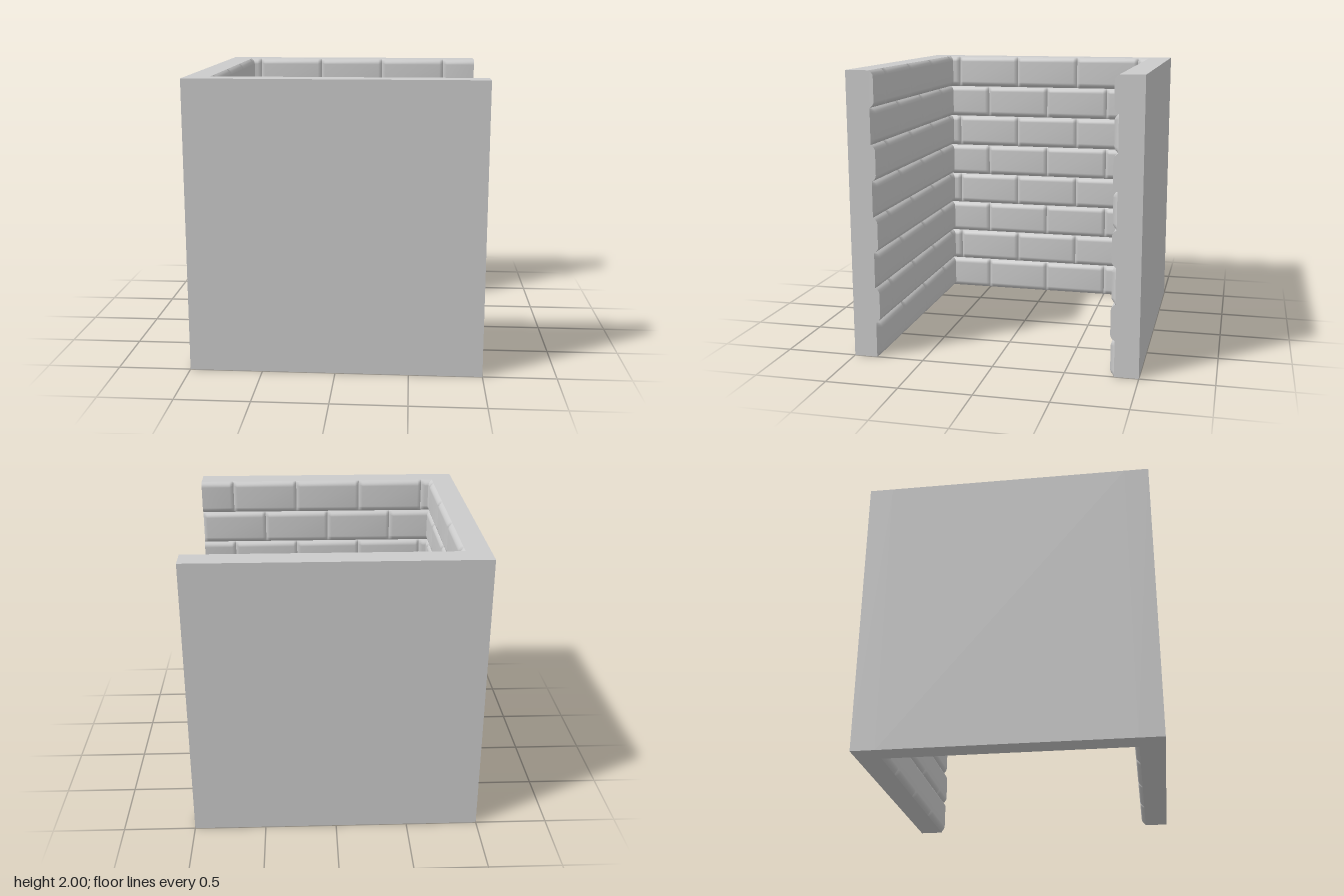
import * as THREE from 'three';

const material = new THREE.MeshStandardMaterial({ color: 0xcccccc });
const BASE = 0.165;   // thickness of the plain wall behind the bricks
const RISE = 0.03;    // how far a brick stands out
const ROW = 0.25;     // course height
const ROWS = 8;

// Rounded edge along the bed joints: [distance from edge, share of rise]
const ROUND = [[0, 0], [0.008, 0.4], [0.018, 0.72], [0.03, 0.93], [0.042, 1]];
// Straight chamfer along the upright joints
const CHAMFER = [[0, 0], [0.03, 1]];
const CUT = [[0, 1]]; // brick cut flush at the end of the wall

// Lines across a brick from a to b, with the given edge at each side
const lines = (a, b, edgeA, edgeB) => [
  ...edgeA.map(([d, h]) => [a + d, h]),
  ...edgeB.map(([d, h]) => [b - d, h]).reverse(),
];

// Face of one brick: a grid raised by the lower of its two edge profiles
function brickGeometry(x0, x1, y0, edgeA, edgeB) {
  const xs = lines(x0, x1, edgeA, edgeB);
  const ys = lines(y0, y0 + ROW, ROUND, ROUND);
  const positions = [], index = [];
  for (const [y, hy] of ys) {
    for (const [x, hx] of xs) positions.push(x, y, BASE + RISE * Math.min(hx, hy));
  }
  const n = xs.length;
  for (let j = 0; j < ys.length - 1; j++) {
    for (let i = 0; i < n - 1; i++) {
      const a = j * n + i, b = a + 1, c = a + n, d = c + 1;
      // turn the diagonal so that corners mitre cleanly
      if ((i < n / 2 - 1) === (j < ys.length / 2 - 1)) index.push(a, b, d, a, d, c);
      else index.push(a, b, c, b, d, c);
    }
  }
  const geometry = new THREE.BufferGeometry();
  geometry.setAttribute('position', new THREE.Float32BufferAttribute(positions, 3));
  geometry.setIndex(index);
  geometry.computeVertexNormals();
  return geometry;
}

// Flat end of a cut brick, facing side (+1 or -1) along the wall
function cutEndGeometry(y0, side) {
  const profile = lines(y0, y0 + ROW, ROUND, ROUND);
  const shape = new THREE.Shape(
    profile.map(([y, h]) => new THREE.Vector2(-side * (BASE + RISE * h), y)));
  return new THREE.ShapeGeometry(shape).rotateY(side * Math.PI / 2).translate(side, 0, 0);
}

function add(parent, name, geometry) {
  const mesh = new THREE.Mesh(geometry, material);
  mesh.name = name;
  parent.add(mesh);
}

// Wall along x, bricks facing +z; openSide marks its free end (0 for none)
function createWall(name, length, openSide) {
  const wall = new THREE.Group();
  wall.name = name;
  add(wall, 'wallSlab', new THREE.BoxGeometry(length, 2, BASE).translate(0, 1, BASE / 2));
  for (let row = 0; row < ROWS; row++) {
    const odd = row % 2 === 1;
    const joints = odd ? [-1, -0.75, -0.25, 0.25, 0.75, 1] : [-1, -0.5, 0, 0.5, 1];
    const edge = (x) => (odd && Math.abs(x) === 1 ? CUT : CHAMFER);
    for (let i = 0; i < joints.length - 1; i++) {
      const [a, b] = [joints[i], joints[i + 1]];
      add(wall, 'brick', brickGeometry(a, b, row * ROW, edge(a), edge(b)));
    }
    if (odd && openSide) add(wall, 'cutBrickEnd', cutEndGeometry(row * ROW, openSide));
  }
  return wall;
}

export function createModel() {
  const model = new THREE.Group();
  model.name = 'brickAlcove';

  const back = createWall('backWall', 2, 1);
  back.position.z = -1;

  const front = createWall('frontWall', 2, -1);
  front.rotation.y = Math.PI;
  front.position.z = 1;

  // fits between the other two walls
  const right = createWall('rightWall', 2 - 2 * BASE, 0);
  right.rotation.y = Math.PI / 2;
  right.position.x = -1;

  model.add(back, front, right);
  return model;
}
